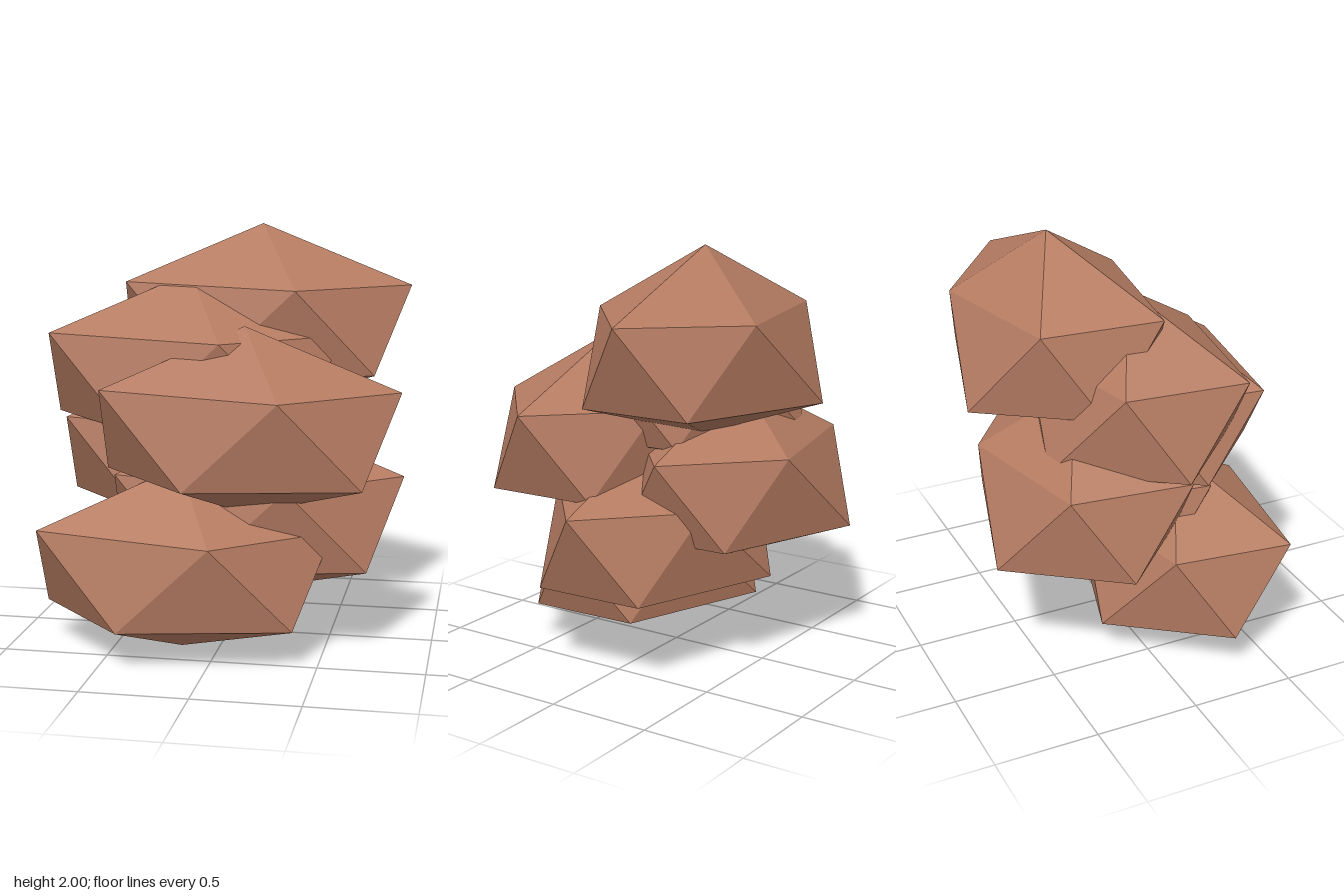
import * as THREE from 'three';

// Faceted boulder: two poles and two staggered five-sided rings,
// slightly irregular, around a vertical axis.
function boulderGeometry() {
  const top = [0, 0.44, 0];
  const bottom = [0.005, -0.445, 0];
  const upper = [[0.73, 0.15, 0], [0.22, 0.15, 0.44], [-0.62, 0.17, 0.3], [-0.51, 0.14, -0.25], [0.22, 0.13, -0.405]];
  const lower = [[0.58, -0.26, 0.28], [-0.21, -0.26, 0.445], [-0.66, -0.25, 0], [-0.235, -0.285, -0.5], [0.56, -0.26, -0.27]];
  const points = [];
  for (let i = 0; i < 5; i++) {
    const j = (i + 1) % 5;
    points.push(
      top, upper[j], upper[i],
      upper[i], upper[j], lower[i],
      upper[j], lower[j], lower[i],
      bottom, lower[i], lower[j],
    );
  }
  const geometry = new THREE.BufferGeometry();
  geometry.setAttribute('position', new THREE.Float32BufferAttribute(points.flat(), 3));
  geometry.computeVertexNormals();
  return geometry;
}

export function createModel() {
  const group = new THREE.Group();
  group.name = 'boulderStack';

  const stone = new THREE.MeshStandardMaterial({ color: 0xb47b61, flatShading: true });
  stone.name = 'reddish brown stone';

  // Six equal boulders step down, swaying left and right and cycling forward
  const geometry = boulderGeometry();
  for (let i = 0; i < 6; i++) {
    const boulder = new THREE.Mesh(geometry, stone);
    boulder.name = `boulder${i + 1}`;
    boulder.position.set(i % 2 ? -0.188 : 0.122, 1.56 - i * 0.223, -0.24 + (i % 3) * 0.265);
    group.add(boulder);
  }
  return group;
}
